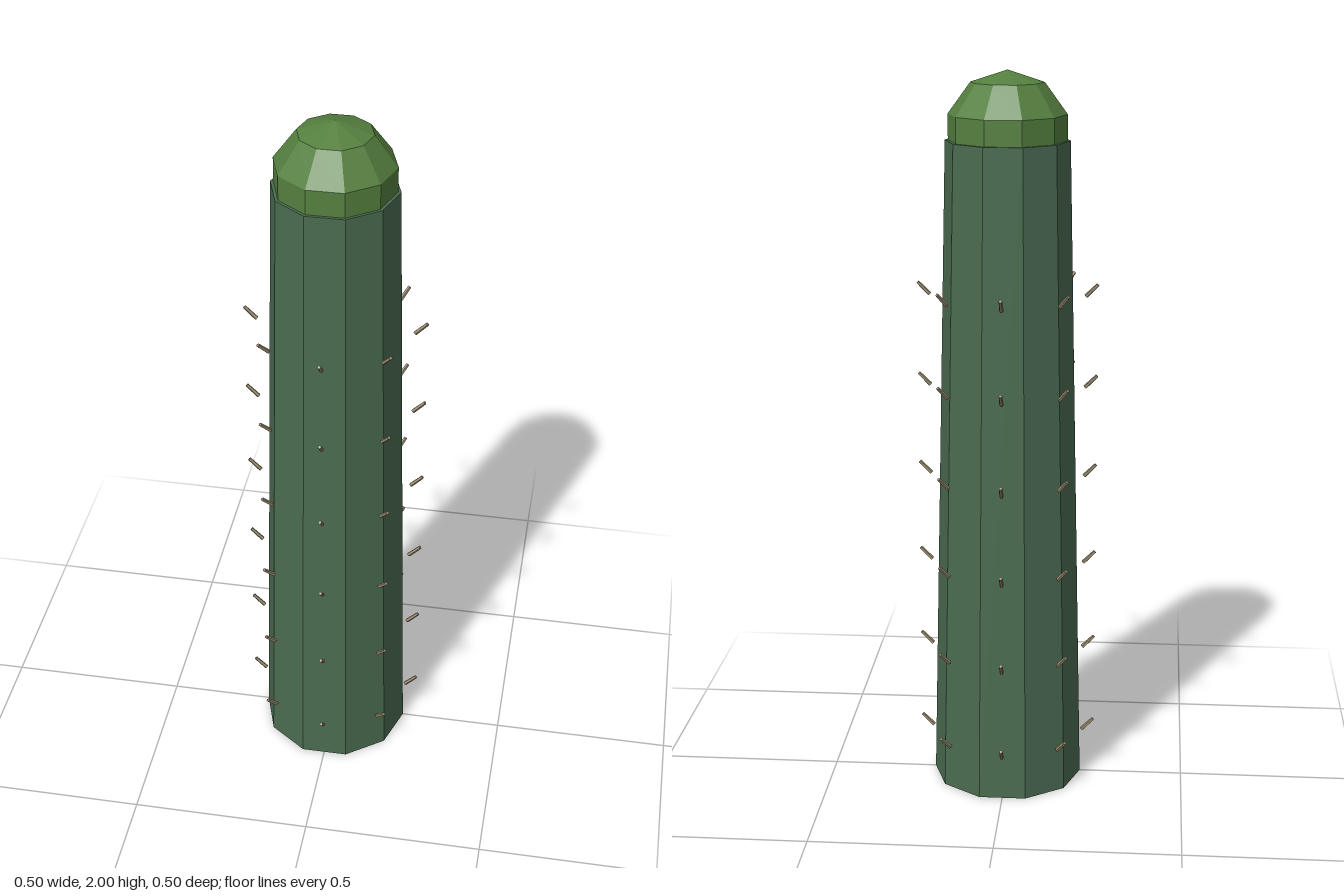
import * as THREE from 'three';

const paint = (color) => new THREE.MeshStandardMaterial({ color, flatShading: true });

export function createModel() {
  const cactus = new THREE.Group();
  cactus.name = 'cactus';

  const add = (name, geometry, material, parent = cactus) => {
    const mesh = new THREE.Mesh(geometry, material);
    mesh.name = name;
    parent.add(mesh);
    return mesh;
  };

  // Tapered ten-sided stem with corners on the x axis
  const stemHeight = 1.815;
  const stem = new THREE.CylinderGeometry(0.168, 0.209, stemHeight, 10, 1, false, Math.PI / 2);
  add('stem', stem, paint(0x4a6b50)).position.y = stemHeight / 2;

  // Faceted ball sunk into the top of the stem
  const crown = add('crown', new THREE.SphereGeometry(0.168, 10, 5), paint(0x55803f));
  crown.position.y = 2 - 0.168;

  // Rings of short spines, tilted outward and up
  const spineGeometry = new THREE.CylinderGeometry(0.005, 0.006, 0.046, 5);
  const spineMaterial = paint(0x9a8c70);
  const up = new THREE.Vector3(0, 1, 0);
  for (let row = 0; row < 6; row++) {
    const ring = new THREE.Group();
    ring.name = `spineRing${row + 1}`;
    ring.position.y = 0.145 + row * 0.2535;
    cactus.add(ring);
    for (let i = 0; i < 8; i++) {
      const angle = (i * Math.PI) / 4;
      const outward = new THREE.Vector3(Math.sin(angle), 0, Math.cos(angle));
      const spine = add('spine', spineGeometry, spineMaterial, ring);
      spine.position.copy(outward).multiplyScalar(0.229);
      spine.quaternion.setFromUnitVectors(up, outward.clone().add(up).normalize());
    }
  }
  return cactus;
}
